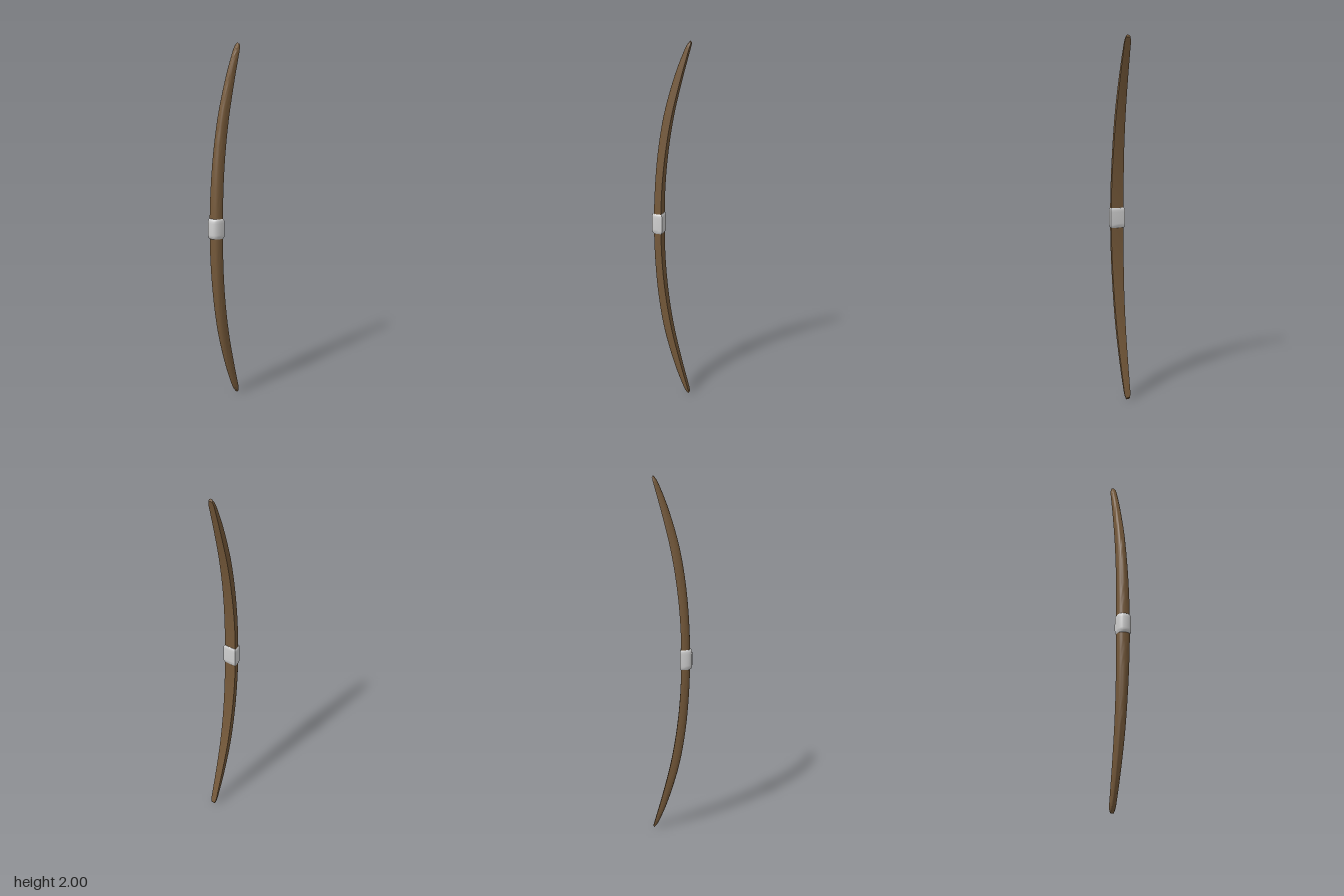
import * as THREE from 'three';
import { toCreasedNormals } from 'three/addons/utils/BufferGeometryUtils.js';

const wood = new THREE.MeshStandardMaterial({ color: 0x75593a });
wood.name = 'brown wood';
const wrap = new THREE.MeshStandardMaterial({ color: 0xcfcfcf });
wrap.name = 'pale grip wrap';

// D-shaped ring: nearly flat belly towards +x, round back towards -x
const ARC = 14;
function section(belly, back, w) {
  const at = (k, z) => [
    belly.x + (back.x - belly.x) * k,
    belly.y + (back.y - belly.y) * k,
    z,
  ];
  const ring = [];
  for (let i = 0; i <= ARC; i++) {
    const a = (i / ARC) * Math.PI;
    const c = Math.cos(a);
    ring.push(at(Math.pow(Math.sin(a), 0.8), w * Math.sign(c) * Math.pow(Math.abs(c), 0.7)));
  }
  ring.push(at(-0.03, 0)); // slight ridge along the belly
  return ring;
}

// Skin a list of rings running upwards and close both ends
function loft(rings, crease) {
  const n = rings[0].length;
  const pos = rings.flat(2);
  const index = [];
  for (let r = 0; r < rings.length - 1; r++) {
    for (let i = 0; i < n; i++) {
      const a = r * n + i, b = r * n + ((i + 1) % n);
      index.push(a, a + n, b, b, a + n, b + n);
    }
  }
  const top = (rings.length - 1) * n;
  for (let i = 1; i < n - 1; i++) {
    index.push(0, i, i + 1);
    index.push(top, top + i + 1, top + i);
  }
  const g = new THREE.BufferGeometry();
  g.setAttribute('position', new THREE.Float32BufferAttribute(pos, 3));
  g.setIndex(index);
  return toCreasedNormals(g, crease);
}

// Upper limb stations: belly x, belly y, back x, back y, half width
const upper = [
  [-0.05, 1.0, -0.098, 1.0, 0.037],
  [-0.045, 1.2, -0.092, 1.205, 0.035],
  [-0.026, 1.4, -0.074, 1.41, 0.031],
  [0.007, 1.6, -0.04, 1.612, 0.027],
  [0.056, 1.8, 0.018, 1.815, 0.022],
  [0.088, 1.915, 0.061, 1.927, 0.019],
  [0.103, 1.968, 0.085, 1.977, 0.017],
  [0.109, 1.988, 0.102, 1.999, 0.012],
];

export function createModel() {
  const group = new THREE.Group();
  group.name = 'bowStave';

  // Mirror the upper limb downwards for one continuous stave
  const lower = upper.slice(1).reverse().map(([a, b, c, d, w]) => [a, 2 - b, c, 2 - d, w]);
  const stations = [...lower, ...upper];
  const bellyCurve = new THREE.CatmullRomCurve3(stations.map(([x, y, , , w]) => new THREE.Vector3(x, y, w)));
  const backCurve = new THREE.CatmullRomCurve3(stations.map(([, , x, y, w]) => new THREE.Vector3(x, y, w)));
  const rings = [];
  const steps = (stations.length - 1) * 4;
  for (let i = 0; i <= steps; i++) {
    const belly = bellyCurve.getPoint(i / steps);
    rings.push(section(belly, backCurve.getPoint(i / steps), belly.z));
  }
  const stave = new THREE.Mesh(loft(rings, 0.75), wood);
  stave.name = 'stave';
  group.add(stave);

  // Grip wrap with softened upper and lower rims
  const gripRings = [
    [0.948, 0.009], [0.952, 0.004], [0.96, 0.001], [0.972, 0],
    [1.036, 0], [1.048, 0.001], [1.056, 0.004], [1.06, 0.009],
  ].map(([y, inset]) => section(
    new THREE.Vector2(-0.043 - inset * 0.6, y),
    new THREE.Vector2(-0.11 + inset, y),
    0.042 - inset * 0.6,
  ));
  const grip = new THREE.Mesh(loft(gripRings, 0.75), wrap);
  grip.name = 'grip';
  group.add(grip);

  return group;
}
